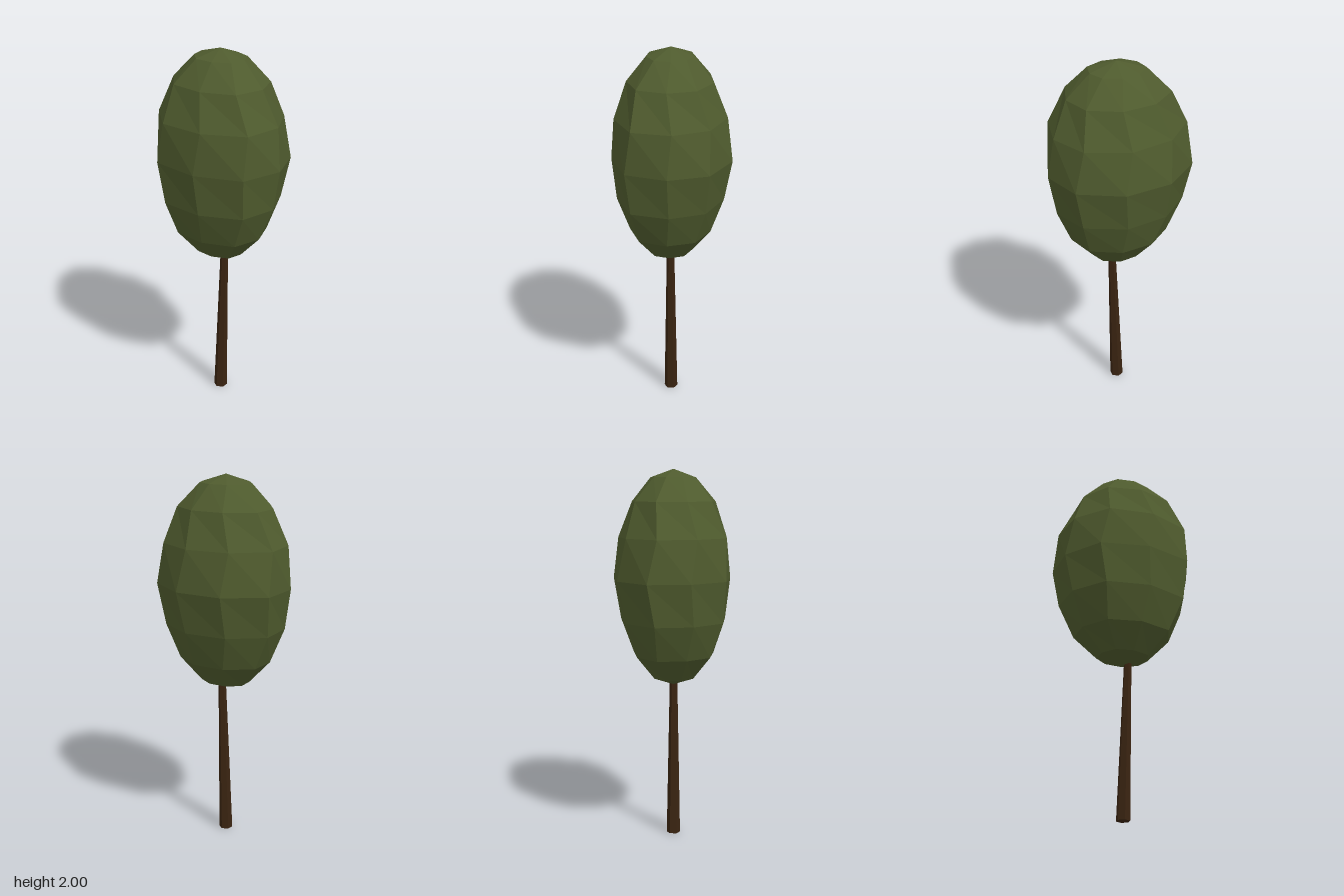
import * as THREE from 'three';

const leafGreen = new THREE.MeshStandardMaterial({ color: 0x4f5b2e, flatShading: true });
leafGreen.name = 'leafGreen';
const barkBrown = new THREE.MeshStandardMaterial({ color: 0x3a2411, flatShading: true });
barkBrown.name = 'barkBrown';

// Egg-shaped crown: nine columns, eight bands, slightly irregular
function createCrown() {
  const cols = 9, rows = 8;
  const bulge = [1, 1.08, 1.02, 1.05, 1, 1.07, 1.02, 1.02, 1.03];  // per column
  const twist = [0, -5, 0, -6, 0, -3, 0, -2, 0];                   // degrees per ring
  const swell = [1, 1, 1, 1, 1, 0.97, 0.97, 0.96, 1];              // per ring
  const geometry = new THREE.SphereGeometry(1, cols, rows);
  const pos = geometry.attributes.position;
  for (let i = 0; i < pos.count; i++) {
    const ring = Math.floor(i / (cols + 1));
    const col = (cols - (i % (cols + 1))) % cols;
    const polar = (ring / rows) * Math.PI;
    const angle = THREE.MathUtils.degToRad((col * 360) / cols + twist[ring]);
    const r = Math.sin(polar) * bulge[col] * swell[ring];
    pos.setXYZ(
      i,
      0.375 * r * Math.cos(angle),
      1.422 + 0.578 * Math.cos(polar),
      0.315 * r * Math.sin(angle) + (ring === 4 ? 0 : 0.01)
    );
  }
  geometry.computeVertexNormals();
  const crown = new THREE.Mesh(geometry, leafGreen);
  crown.name = 'crown';
  return crown;
}

// Tapered six-sided trunk leaning gently to one side
function createTrunk() {
  const height = 0.9;
  const geometry = new THREE.CylinderGeometry(0.02, 0.037, height, 6);
  geometry.translate(0, height / 2, 0.01);
  const pos = geometry.attributes.position;
  for (let i = 0; i < pos.count; i++) {
    pos.setX(i, pos.getX(i) + 0.027 * (pos.getY(i) / height));
  }
  geometry.computeVertexNormals();
  const trunk = new THREE.Mesh(geometry, barkBrown);
  trunk.name = 'trunk';
  return trunk;
}

export function createModel() {
  const tree = new THREE.Group();
  tree.name = 'tree';
  tree.add(createCrown(), createTrunk());
  return tree;
}
